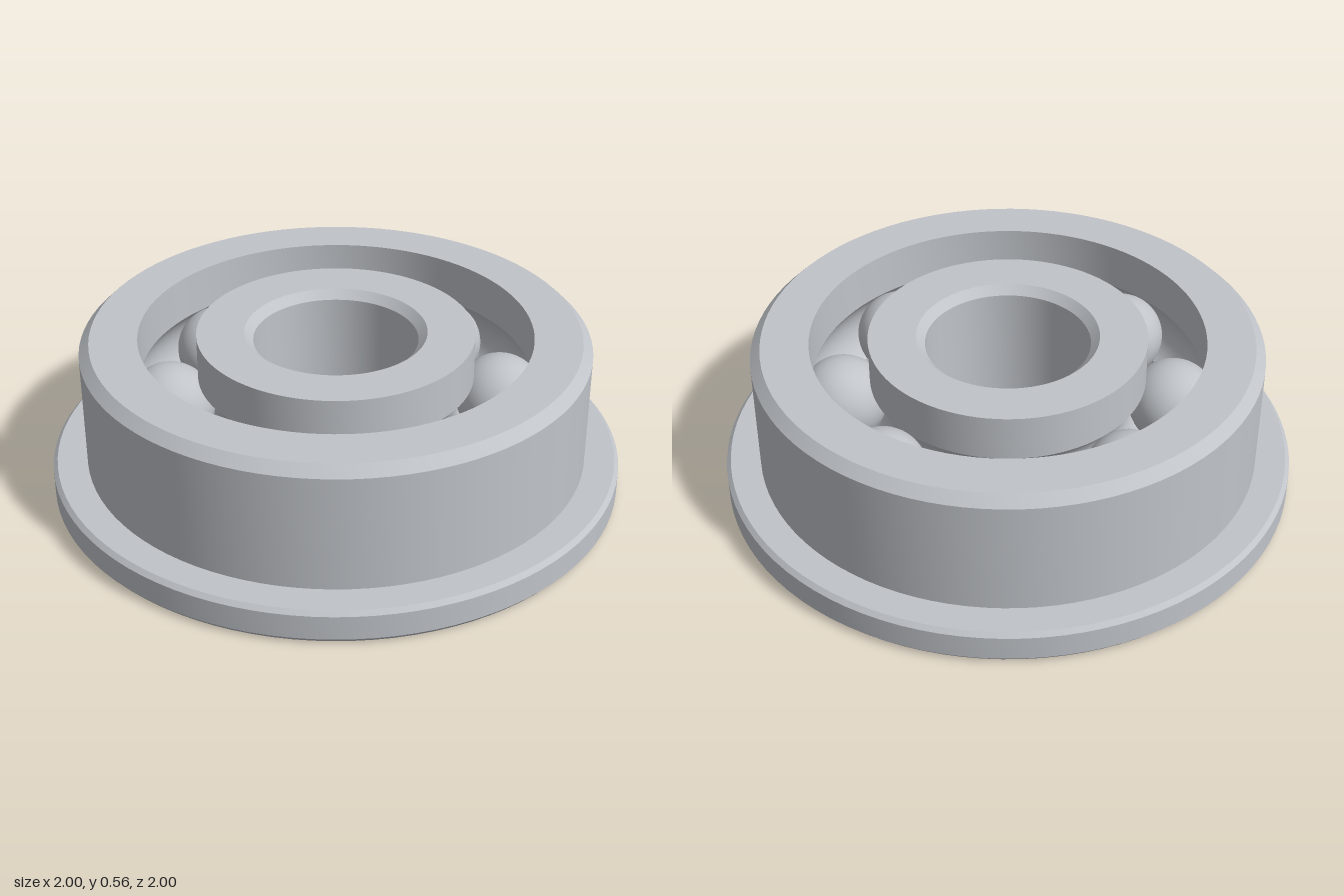
import * as THREE from 'three';
import { toCreasedNormals } from 'three/addons/utils/BufferGeometryUtils.js';

const HEIGHT = 0.565, MID = HEIGHT / 2;
const PITCH = 0.58, BALL = 0.155, GROOVE = 0.157;

// Points of the ball groove where it cuts a cylinder of radius r (side: +1 outer race, -1 inner race)
function groove(r, side) {
  const half = Math.acos(Math.abs(r - PITCH) / GROOVE);
  const points = [];
  for (let i = 0; i <= 12; i++) {
    const a = half * (1 - i / 6) * side;
    points.push([PITCH + side * GROOVE * Math.cos(a), MID + GROOVE * Math.sin(a) * side * side]);
  }
  return points;
}

// Closed profile, counter-clockwise in (radius, height), turned about y with crisp edges
function ring(name, profile, material) {
  const points = [...profile, profile[0]].map(([r, y]) => new THREE.Vector2(r, y));
  const mesh = new THREE.Mesh(toCreasedNormals(new THREE.LatheGeometry(points, 96), 0.4), material);
  mesh.name = name;
  return mesh;
}

export function createModel() {
  const steel = new THREE.MeshStandardMaterial({ color: 0xc0c4c9 });
  steel.name = 'steel';
  const model = new THREE.Group();
  model.name = 'flangedBallBearing';

  // Outer ring: flange, body, top chamfer, then down the grooved inner wall
  model.add(ring('outerRing', [
    [0.68, 0], [0.985, 0], [1, 0.018], [1, 0.105], [0.985, 0.12], [0.88, 0.12],
    [0.88, 0.53], [0.845, HEIGHT], [0.68, HEIGHT], ...groove(0.68, 1),
  ], steel));

  // Inner ring: grooved outer wall going up, then down the chamfered bore
  model.add(ring('innerRing', [
    [0.315, 0], [0.48, 0], ...groove(0.48, -1), [0.48, HEIGHT], [0.315, HEIGHT],
    [0.285, HEIGHT - 0.03], [0.285, 0.03],
  ], steel));

  // Eight balls between the races
  const balls = new THREE.Group();
  balls.name = 'balls';
  const ballGeometry = new THREE.SphereGeometry(BALL, 40, 28);
  for (let i = 0; i < 8; i++) {
    const a = (i * Math.PI) / 4;
    const ball = new THREE.Mesh(ballGeometry, steel);
    ball.name = 'ball' + (i + 1);
    ball.position.set(PITCH * Math.cos(a), MID, PITCH * Math.sin(a));
    balls.add(ball);
  }
  model.add(balls);
  return model;
}
